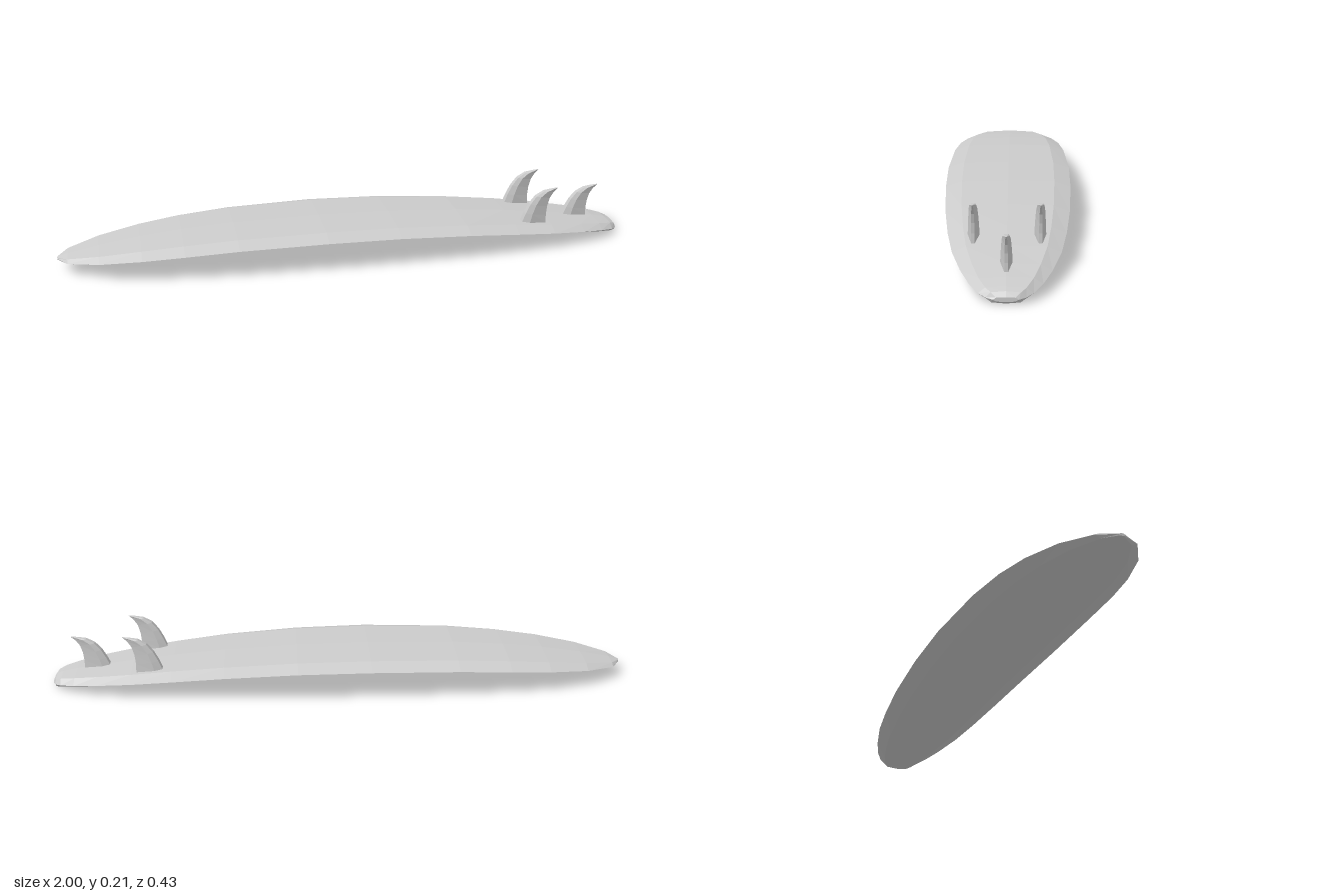
import * as THREE from 'three';

const material = new THREE.MeshStandardMaterial({ color: 0xcccccc, flatShading: true });

// Skins a list of equal-length rings of [x, y, z] points and closes both ends.
// Rings run counter-clockwise when looking back along the direction of the loft.
function loft(name, rings) {
  const n = rings[0].length;
  const points = rings.flat();
  const index = [];
  for (let r = 0; r < rings.length - 1; r++) {
    for (let i = 0; i < n; i++) {
      const a = r * n + i, b = r * n + (i + 1) % n;
      index.push(a, b, a + n, b, b + n, a + n);
    }
  }
  const last = (rings.length - 1) * n;
  for (let i = 1; i < n - 1; i++) {
    index.push(0, i + 1, i, last, last + i, last + i + 1);
  }
  const geometry = new THREE.BufferGeometry();
  geometry.setAttribute('position', new THREE.Float32BufferAttribute(points.flat(), 3));
  geometry.setIndex(index);
  geometry.computeVertexNormals();
  const mesh = new THREE.Mesh(geometry, material);
  mesh.name = name;
  return mesh;
}

// Stations from nose to tail: x, half width, deck height, bottom height
const stations = [
  [-1.0, 0.008, 0.045, 0.036],
  [-0.965, 0.068, 0.056, 0.034],
  [-0.86, 0.13, 0.077, 0.042],
  [-0.72, 0.172, 0.098, 0.055],
  [-0.58, 0.195, 0.113, 0.067],
  [-0.4, 0.209, 0.125, 0.079],
  [-0.1, 0.217, 0.131, 0.086],
  [0.15, 0.212, 0.127, 0.082],
  [0.4, 0.199, 0.113, 0.068],
  [0.58, 0.182, 0.097, 0.051],
  [0.72, 0.162, 0.081, 0.037],
  [0.84, 0.132, 0.065, 0.023],
  [0.92, 0.104, 0.053, 0.012],
  [0.97, 0.077, 0.043, 0.004],
  [0.99, 0.056, 0.036, 0.0],
  [1.0, 0.036, 0.022, 0.008],
];

// Eight-sided section: crowned deck, bevelled rails, nearly flat bottom
function boardRing([x, w, top, bottom]) {
  const t = top - bottom, rail = bottom + t * 0.48;
  return [
    [x, top, 0], [x, top - t * 0.1, w * 0.74], [x, rail, w],
    [x, bottom + t * 0.1, w * 0.72], [x, bottom, 0],
    [x, bottom + t * 0.1, -w * 0.72], [x, rail, -w], [x, top - t * 0.1, -w * 0.74],
  ];
}

// Swept fin levels: leading x, leading y, trailing x, trailing y, half thickness
const finLevels = [
  [0.0, 0.0, 0.09, -0.013, 0.018],
  [0.012, 0.03, 0.089, 0.018, 0.0168],
  [0.028, 0.062, 0.092, 0.05, 0.015],
  [0.05, 0.09, 0.1, 0.08, 0.013],
  [0.078, 0.107, 0.113, 0.1, 0.0105],
  [0.108, 0.113, 0.123, 0.109, 0.006],
  [0.129, 0.116, 0.13, 0.115, 0.002],
];

function fin(name, x, y, z, height) {
  const section = [[0, 0.65], [0.3, 1], [1, 0.3], [1, -0.3], [0.3, -1], [0, -0.65]];
  const mesh = loft(name, finLevels.map(([lx, ly, tx, ty, h]) =>
    section.map(([u, v]) => [lx + (tx - lx) * u, (ly + (ty - ly) * u) * height, v * h])));
  mesh.position.set(x, y, z);
  return mesh;
}

export function createModel() {
  const group = new THREE.Group();
  group.name = 'surfboard';
  group.add(loft('board', stations.map(boardRing)));
  group.add(fin('rightFin', 0.612, 0.092, -0.1, 1));
  group.add(fin('leftFin', 0.612, 0.092, 0.1, 1));
  group.add(fin('centreFin', 0.803, 0.067, 0, 0.91));
  return group;
}
